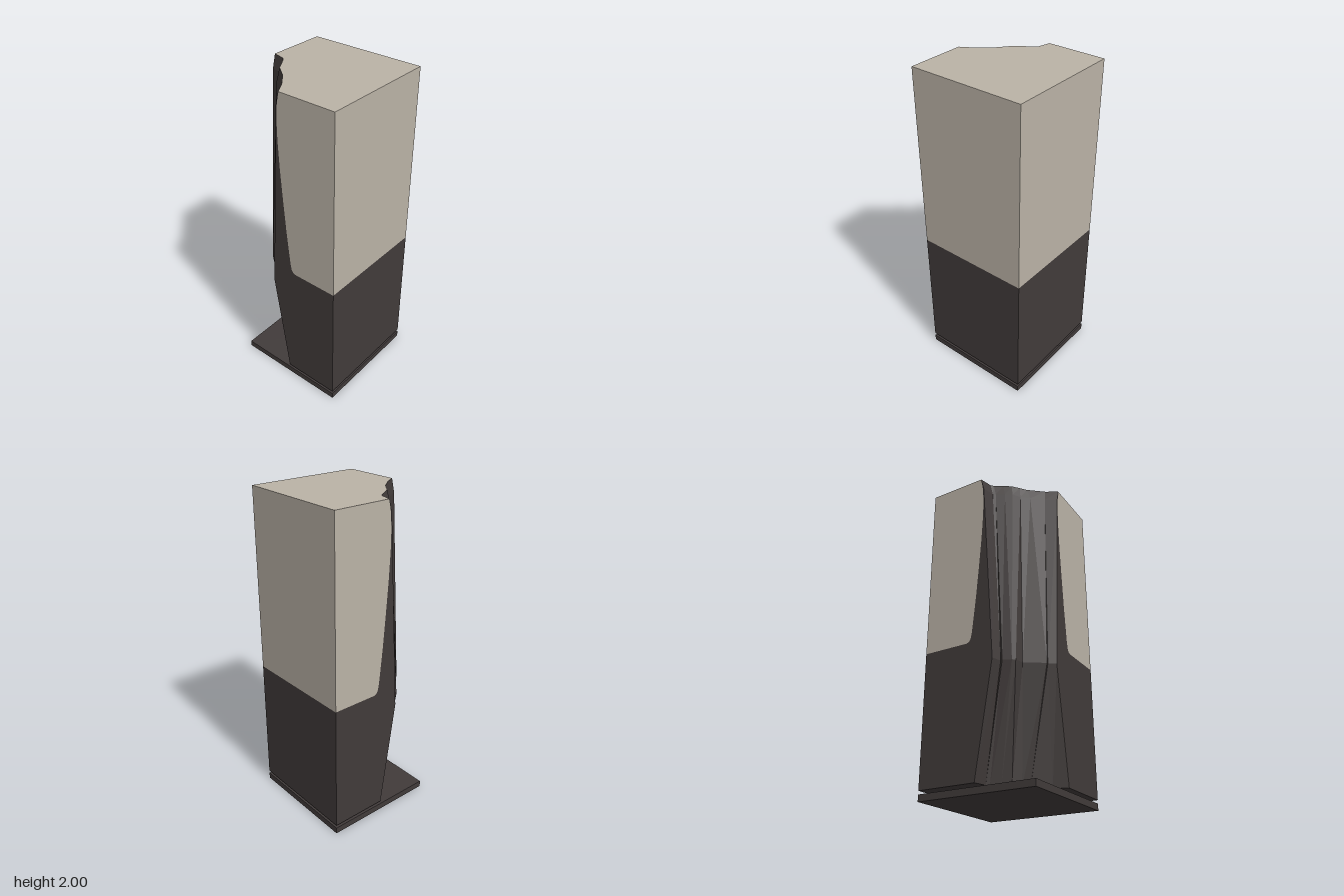
import * as THREE from 'three';

const H = 0.363, FOOT = 0.06, TOP = 2, SPLIT = 0.865;

export function createModel() {
  const group = new THREE.Group();
  group.name = 'brokenCornerPillar';
  const dark = new THREE.MeshStandardMaterial({ color: 0x413b3a });
  dark.name = 'dark stone';
  const pale = new THREE.MeshStandardMaterial({ color: 0xbab2a6 });
  pale.name = 'pale stone';

  const add = (name, geometry, material) => {
    const mesh = new THREE.Mesh(geometry, material);
    mesh.name = name;
    group.add(mesh);
    return mesh;
  };
  const flat = (pts) => new THREE.ShapeGeometry(new THREE.Shape(pts.map(([x, y]) => new THREE.Vector2(x, y))));

  // Base slab, separated from the pillar by a thin gap
  add('baseSlab', new THREE.BoxGeometry(2 * H, 0.04, 2 * H).translate(0, 0.02, 0), dark);

  // Outline of the broken corner (x, z) at the ends and at the bulge
  const end = [[-H, 0], [-0.285, 0.02], [-0.268, 0.035], [-0.235, 0.085], [-0.205, 0.132],
    [-0.16, 0.167], [-0.122, 0.197], [-0.045, 0.288], [0, H]];
  const bulge = [[-H, 0.1], [-0.302, 0.117], [-0.307, 0.13], [-0.285, 0.18], [-0.272, 0.197],
    [-0.215, 0.208], [-0.14, 0.322], [-0.128, 0.321], [-0.1, H]];
  const levels = [[FOOT, 0], [0.74, 1], [1.92, 0.21], [TOP, 0]];
  const rings = levels.map(([y, t]) => end.map(([x, z], i) =>
    [x + (bulge[i][0] - x) * t, y, z + (bulge[i][1] - z) * t]));

  // Faceted rough surface between the rings
  const verts = [];
  for (let r = 0; r < rings.length - 1; r++) {
    for (let i = 0; i < end.length - 1; i++) {
      const a = rings[r][i], b = rings[r][i + 1], c = rings[r + 1][i + 1], d = rings[r + 1][i];
      verts.push(...a, ...b, ...c, ...a, ...c, ...d);
    }
  }
  const rough = new THREE.BufferGeometry();
  rough.setAttribute('position', new THREE.Float32BufferAttribute(verts, 3));
  rough.computeVertexNormals();
  add('brokenCorner', rough, dark);

  // Top and underside follow the broken outline
  const plan = [...end, [H, H], [H, -H], [-H, -H]];
  add('pillarTop', flat(plan.map(([x, z]) => [x, -z])).rotateX(-Math.PI / 2).translate(0, TOP, 0), pale);
  add('pillarUnderside', flat(plan).rotateX(Math.PI / 2).translate(0, FOOT, 0), dark);

  // The two faces beside the break: pale area with a curved edge, dark remainder
  const curve = [[0, TOP], [-0.014, 1.92], [-0.02, 1.84], [-0.02, 1.72], [-0.012, 1.55], [0, 1.38],
    [0.018, 1.15], [0.04, 0.93], [0.048, 0.89], [0.058, 0.872], [0.075, SPLIT]];
  const paleArea = [...curve, [H, SPLIT], [H, TOP]];
  const darkArea = [[0, FOOT], [H, FOOT], [H, SPLIT], ...curve.slice().reverse(), [-0.021, 1.92], [-0.1, 0.74]];
  for (const [side, sign, angle] of [['front', 1, 0], ['right', -1, -Math.PI / 2]]) {
    for (const [tone, area, material] of [['Pale', paleArea, pale], ['Dark', darkArea, dark]]) {
      const geometry = flat(area.map(([u, y]) => [u * sign, y])).translate(0, 0, H).rotateY(angle);
      add(side + tone + 'Face', geometry, material);
    }
  }

  // The two whole faces, split level
  for (const [side, angle] of [['left', Math.PI / 2], ['back', Math.PI]]) {
    for (const [tone, y0, y1, material] of [['Pale', SPLIT, TOP, pale], ['Dark', FOOT, SPLIT, dark]]) {
      const geometry = new THREE.PlaneGeometry(2 * H, y1 - y0).translate(0, (y0 + y1) / 2, H).rotateY(angle);
      add(side + tone + 'Face', geometry, material);
    }
  }
  return group;
}
